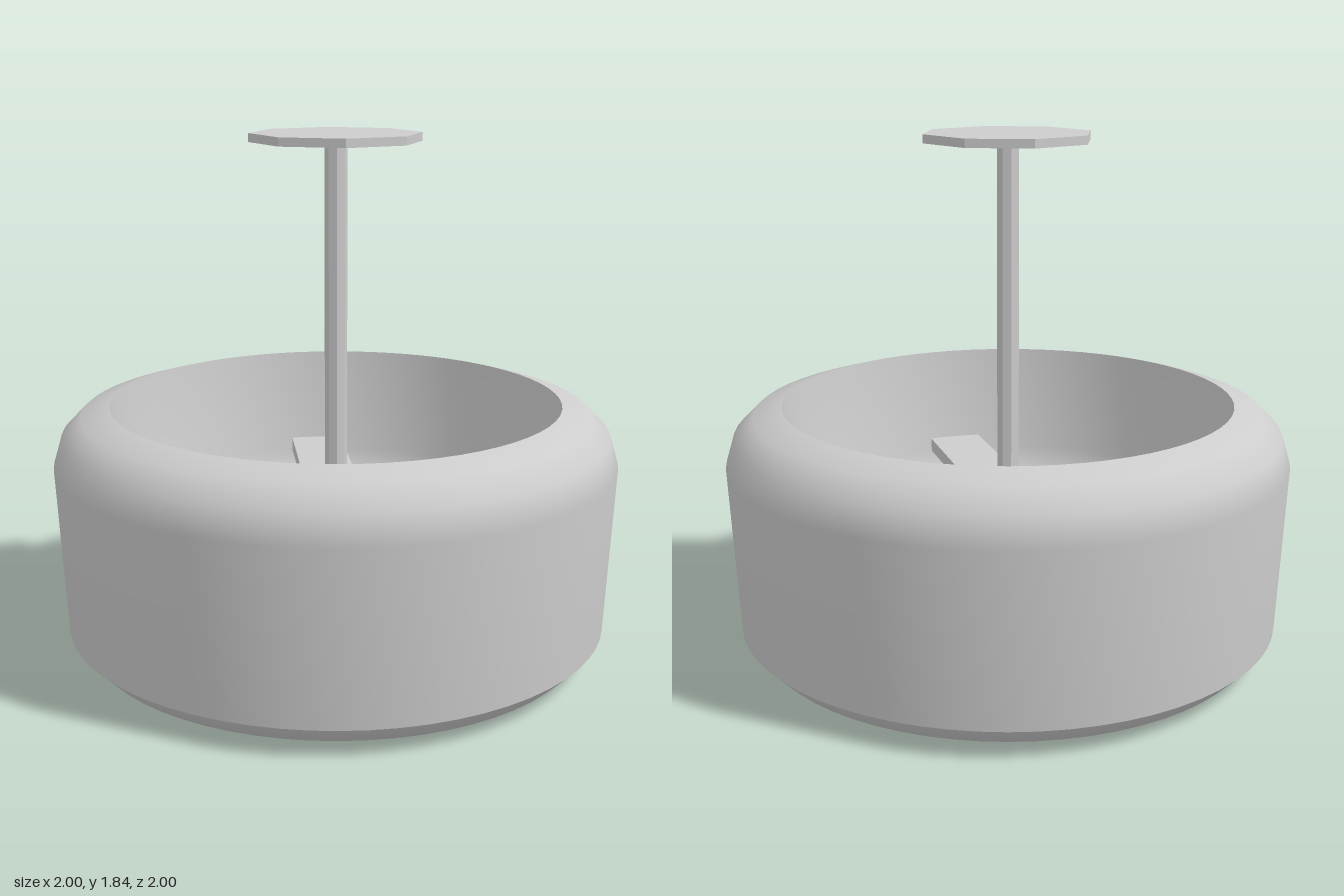
import * as THREE from 'three';

export function createModel() {
  const model = new THREE.Group();
  const grey = new THREE.MeshStandardMaterial({ color: 0xcccccc });
  grey.name = 'light grey';
  const flatGrey = grey.clone();
  flatGrey.flatShading = true;

  function add(name, geometry, material, y = 0) {
    const mesh = new THREE.Mesh(geometry, material);
    mesh.name = name;
    mesh.position.y = y;
    model.add(mesh);
  }

  // Ring body: three smooth bands meeting at sharp edges
  const bands = {
    ringUnderside: [[0.6, 0.3], [0.6, 0.2], [0.63, 0.1], [0.7, 0.03], [0.8, 0], [0.9, 0.03], [0.97, 0.1]],
    ringOuterWall: [[0.97, 0.1], [1, 0.7], [0.97, 0.8], [0.9, 0.87], [0.8, 0.9]],
    ringInnerWall: [[0.8, 0.9], [0.75, 0.5], [0.7, 0.4], [0.6, 0.3]],
  };
  for (const [name, profile] of Object.entries(bands)) {
    const points = profile.map(([r, y]) => new THREE.Vector2(r, y));
    add(name, new THREE.LatheGeometry(points, 64), grey);
  }

  // Crossbar, its ends sunk into the inner wall
  add('crossbar', new THREE.BoxGeometry(0.2, 0.05, 1.54), flatGrey, 0.525);

  // Central post and octagonal plate
  add('post', new THREE.CylinderGeometry(0.04, 0.04, 1.29, 8), flatGrey, 1.175);
  add('topPlate', new THREE.CylinderGeometry(0.3, 0.3, 0.03, 8), flatGrey, 1.825);

  return model;
}
